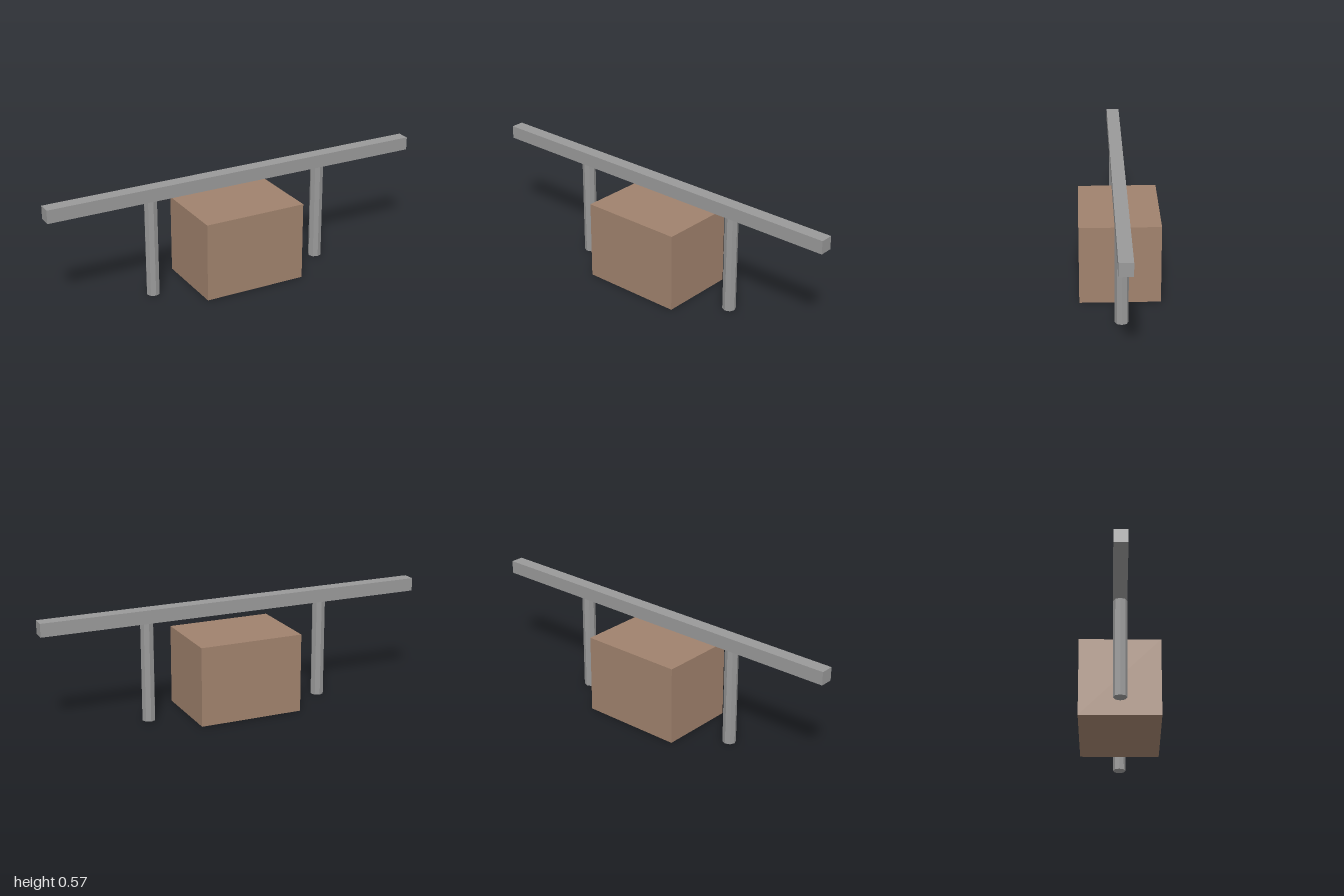
import * as THREE from 'three';

export function createModel() {
  const model = new THREE.Group();
  const metal = new THREE.MeshStandardMaterial({ color: 0x999999, flatShading: true });
  metal.name = 'grey metal';
  const wood = new THREE.MeshStandardMaterial({ color: 0xa0826d, flatShading: true });
  wood.name = 'brown wood';

  function add(name, geometry, material, x, y) {
    const mesh = new THREE.Mesh(geometry, material);
    mesh.name = name;
    mesh.position.set(x, y, 0);
    model.add(mesh);
  }

  // Long horizontal bar
  add('rail', new THREE.BoxGeometry(2, 0.0667, 0.0667), metal, 0, 0.5333);

  // Eight-sided posts under the bar
  const post = new THREE.CylinderGeometry(0.0333, 0.0333, 0.5, 8);
  add('leftPost', post, metal, 0.4667, 0.25);
  add('rightPost', post, metal, -0.4667, 0.25);

  // Block standing between the posts
  add('block', new THREE.BoxGeometry(0.5333, 0.4, 0.4), wood, 0, 0.2);

  return model;
}
